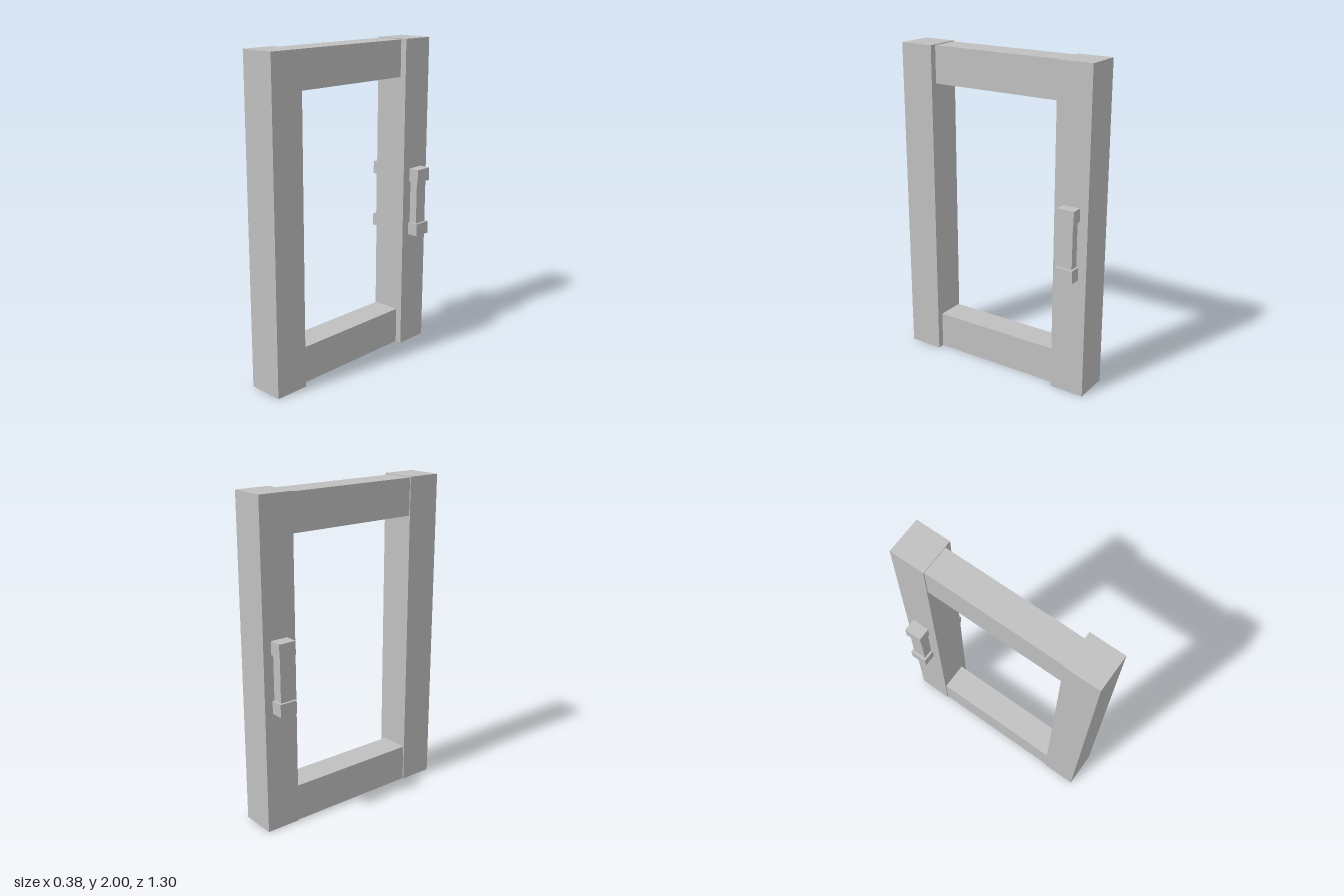
import * as THREE from 'three';

export function createModel() {
  const model = new THREE.Group();
  model.name = 'doorFrame';
  const grey = new THREE.MeshStandardMaterial({ color: 0xc0c0c0, side: THREE.DoubleSide });
  grey.name = 'plain grey';

  // Box given by its limits on each axis; openBottom leaves out the underside
  function block(name, [x0, x1], [y0, y1], [z0, z1], openBottom = false) {
    const geo = new THREE.BoxGeometry(x1 - x0, y1 - y0, z1 - z0);
    if (openBottom) {
      const index = Array.from(geo.index.array);
      index.splice(18, 6); // fourth side of the box is the underside
      geo.setIndex(index);
      geo.clearGroups();
    }
    const mesh = new THREE.Mesh(geo, grey);
    mesh.name = name;
    mesh.position.set((x0 + x1) / 2, (y0 + y1) / 2, (z0 + z1) / 2);
    model.add(mesh);
  }

  // Upright posts, hollow at the foot
  const postX = [-0.11, 0.117];
  block('frontPost', postX, [0, 2], [0.432, 0.65], true);
  block('backPost', postX, [0, 2], [-0.65, -0.432], true);

  // Cross rails, let into the posts
  const railX = [-0.103, 0.076], railZ = [-0.55, 0.57];
  block('bottomRail', railX, [0, 0.232], railZ);
  block('topRail', railX, [1.767, 1.995], railZ);

  // Handles passing through the back post: a grip between two mounts
  const mountX = [-0.19, 0.187], mountZ = [-0.598, -0.487];
  block('lowerHandleMount', mountX, [0.75, 0.83], mountZ);
  block('upperHandleMount', mountX, [1.105, 1.187], mountZ);
  block('handleGrip', [-0.175, 0.17], [0.83, 1.105], [-0.585, -0.5]);

  return model;
}
